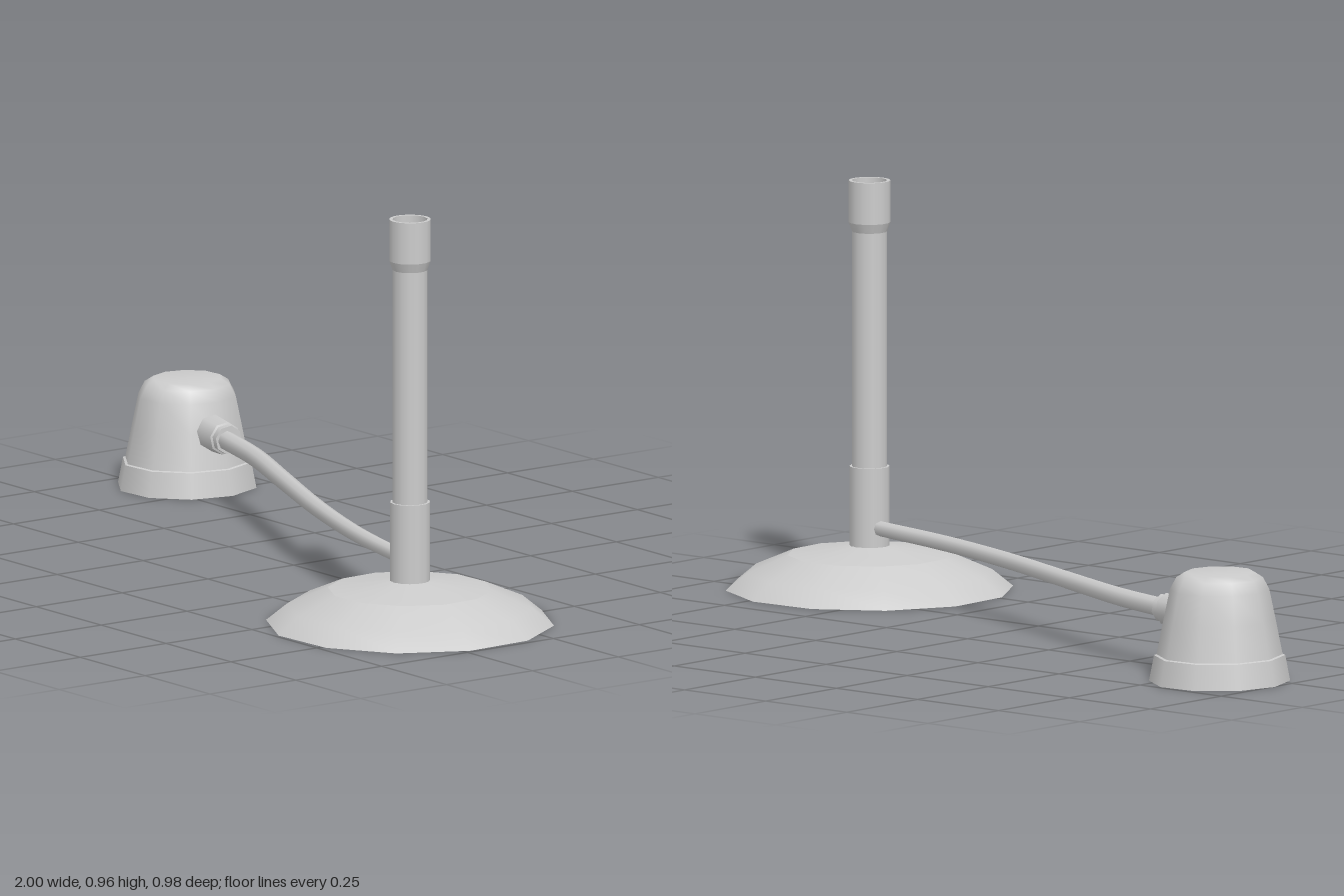
import * as THREE from 'three';

const grey = new THREE.MeshStandardMaterial({ color: 0xcccccc, side: THREE.DoubleSide });
const V = (x, y, z) => new THREE.Vector3(x, y, z);

// Revolved part made of several profile bands; bands meet in a sharp edge
function turned(name, bands, sides, startDeg = 0) {
  const group = new THREE.Group();
  group.name = name;
  bands.forEach((band, i) => {
    const points = band.map(([r, y]) => new THREE.Vector2(r, y));
    const start = THREE.MathUtils.degToRad(startDeg);
    const mesh = new THREE.Mesh(new THREE.LatheGeometry(points, sides, start), grey);
    mesh.name = `${name}Band${i + 1}`;
    group.add(mesh);
  });
  return group;
}

export function createModel() {
  const model = new THREE.Group();
  model.name = 'deskLamp';

  // Stand: shallow hollow dome with an open post
  const stand = new THREE.Group();
  stand.name = 'stand';
  stand.position.set(0.662, 0, 0.162);
  stand.add(
    turned('base', [
      [[0.336, 0], [0.287, 0.04], [0.192, 0.081]],
      [[0.192, 0.081], [0.045, 0.102]],
    ], 12, 17.5),
    turned('postSleeve', [
      [[0.047, 0.1], [0.047, 0.288]],
      [[0.047, 0.288], [0.041, 0.288]],
    ], 14),
    turned('post', [[[0.041, 0.1], [0.041, 0.845]]], 14),
    turned('postCollar', [
      [[0.041, 0.84], [0.049, 0.862]],
      [[0.049, 0.862], [0.049, 0.96]],
      [[0.049, 0.96], [0.041, 0.96]],
      [[0.041, 0.96], [0.041, 0.84]],
    ], 14),
  );
  model.add(stand);

  // Arm: gently curved tube, slightly thicker towards the head
  const curve = new THREE.CatmullRomCurve3([
    V(0.618, 0.146, 0.15), V(0.36, 0.146, 0.085), V(0.08, 0.146, -0.012),
    V(-0.235, 0.145, -0.143), V(-0.465, 0.145, -0.238), V(-0.66, 0.145, -0.297),
  ]);
  const steps = 20, radial = 8;
  const armGeo = new THREE.TubeGeometry(curve, steps, 1, radial);
  const pos = armGeo.attributes.position, p = V(0, 0, 0);
  for (let i = 0; i < pos.count; i++) {
    const t = Math.floor(i / (radial + 1)) / steps;
    const centre = curve.getPointAt(t);
    p.fromBufferAttribute(pos, i).sub(centre).multiplyScalar(0.018 + 0.005 * t).add(centre);
    pos.setXYZ(i, p.x, p.y, p.z);
  }
  const arm = new THREE.Mesh(armGeo, grey);
  arm.name = 'arm';
  model.add(arm);

  // Head: open bell shade with a flared rim
  const shade = turned('shade', [
    [[0.169, 0], [0.157, 0.06]],
    [[0.157, 0.06], [0.151, 0.062]],
    [[0.151, 0.062], [0.134, 0.145], [0.119, 0.215], [0.104, 0.243], [0.083, 0.256], [0, 0.257]],
  ], 10, 22);
  shade.position.set(-0.845, 0, -0.328);
  shade.scale.x = 0.95;
  model.add(shade);

  // Socket joining the arm to the shade
  const socket = turned('socket', [
    [[0.044, 0], [0.039, 0.096]],
    [[0.039, 0.096], [0.034, 0.098]],
    [[0.034, 0.098], [0.034, 0.116]],
    [[0.034, 0.116], [0.019, 0.116]],
  ], 8, 22.5);
  socket.position.set(-0.757, 0.146, -0.32);
  socket.quaternion.setFromUnitVectors(V(0, 1, 0), V(0.98, 0, 0.2).normalize());
  model.add(socket);

  return model;
}
